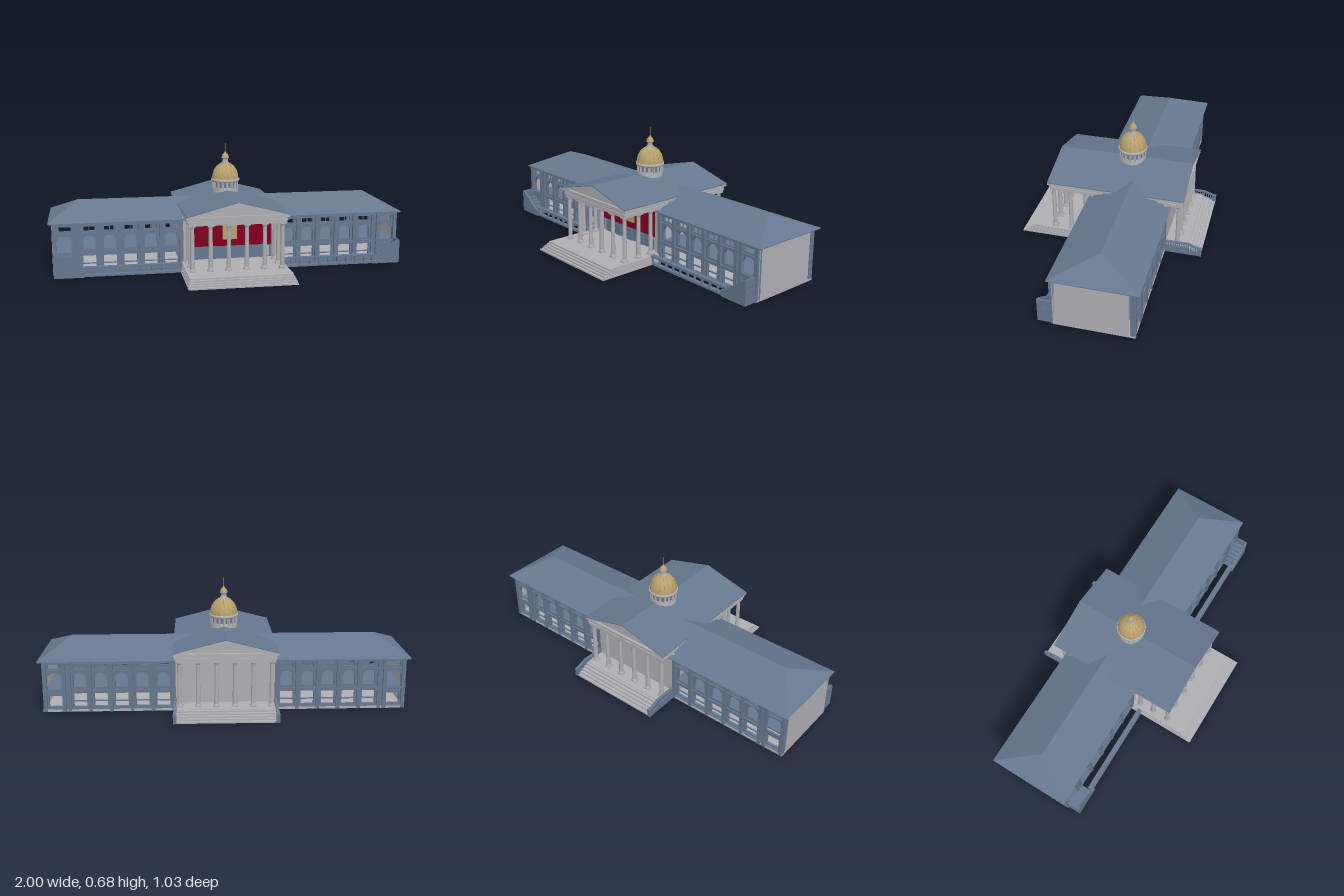
import * as THREE from 'three';

const material = (name, color) => {
  const m = new THREE.MeshStandardMaterial({ color });
  m.name = name;
  return m;
};

export function createModel() {
  const slate = material('slate', 0x66778f);
  const stone = material('stone', 0xaeaeb3);
  const burgundy = material('burgundy', 0x800020);
  const gold = material('gold', 0xb9a26c);
  const model = new THREE.Group();
  model.name = 'domedHall';

  const add = (name, geometry, mat, x = 0, y = 0, z = 0) => {
    const mesh = new THREE.Mesh(geometry, mat);
    mesh.name = name;
    mesh.position.set(x, y, z);
    model.add(mesh);
    return mesh;
  };
  // Box given by its limits on each axis
  const box = (name, mat, x0, x1, y0, y1, z0, z1) =>
    add(name, new THREE.BoxGeometry(Math.abs(x1 - x0), y1 - y0, Math.abs(z1 - z0)), mat,
      (x0 + x1) / 2, (y0 + y1) / 2, (z0 + z1) / 2);
  // Outline in x and y, extruded from z0 to z1
  const shapeOf = pts => new THREE.Shape(pts.map(p => new THREE.Vector2(p[0], p[1])));
  const slab = (name, mat, shape, z0, z1) =>
    add(name, new THREE.ExtrudeGeometry(shape, { depth: z1 - z0, bevelEnabled: false, curveSegments: 10 }), mat, 0, 0, z0);
  const lathe = (name, mat, pts, x, z, sides = 32) =>
    add(name, new THREE.LatheGeometry(pts.map(p => new THREE.Vector2(p[0], p[1])), sides), mat, x, 0, z);

  // Window outlines
  const rectHole = (x, w, y0, y1) => new THREE.Path([
    new THREE.Vector2(x - w / 2, y0), new THREE.Vector2(x + w / 2, y0),
    new THREE.Vector2(x + w / 2, y1), new THREE.Vector2(x - w / 2, y1)]);
  const archHole = (x, w, y0, y1) => {
    const p = new THREE.Path();
    p.moveTo(x - w / 2, y0);
    p.lineTo(x + w / 2, y0);
    p.lineTo(x + w / 2, y1 - w / 2);
    p.absarc(x, y1 - w / 2, w / 2, 0, Math.PI, false);
    p.closePath();
    return p;
  };

  // Wings: floors, end walls, pierced facades
  box('wingGroundFloor', stone, -0.98, 0.98, 0, 0.012, -0.312, 0.11);
  box('wingCeiling', slate, -0.98, 0.98, 0.277, 0.284, -0.31, 0.11);
  const bays = [0, 1, 2, 3, 4].map(i => 0.333 + i * 0.112);
  const piers = [0, 1, 2, 3, 4, 5].map(i => 0.277 + i * 0.112);
  for (const s of [-1, 1]) {
    box('wingUpperFloor', slate, s * 0.275, s * 0.975, 0.108, 0.118, -0.28, 0.09);
    box('endWall', stone, s * 0.968, s * 0.98, 0, 0.28, -0.278, 0.105);
    for (const [z0, z1, out] of [[0.09, 0.105, 1], [-0.3, -0.285, -1]]) {
      const wall = shapeOf([[s * 0.275, 0], [s * 0.98, 0], [s * 0.98, 0.28], [s * 0.275, 0.28]]);
      for (const x of bays) {
        wall.holes.push(rectHole(s * x, 0.07, 0.025, 0.1));
        wall.holes.push(archHole(s * x, 0.066, 0.135, 0.214));
        wall.holes.push(rectHole(s * x, 0.062, 0.238, 0.262));
      }
      wall.holes.push(archHole(s * 0.913, 0.09, 0.1, 0.214));
      wall.holes.push(rectHole(s * 0.913, 0.07, 0.238, 0.262));
      if (out < 0) wall.holes.push(rectHole(s * 0.913, 0.07, 0.025, 0.085));
      slab('wingFacade', slate, wall, z0, z1);
      const face = out > 0 ? z1 : z0;
      // Pilasters, string courses and window railings
      for (const x of [...piers, 0.866, 0.968])
        box('pilaster', slate, s * x - 0.01, s * x + 0.01, 0, 0.28, face, face + out * 0.014);
      for (const [y0, y1] of [[0, 0.018], [0.106, 0.122], [0.222, 0.23], [0.268, 0.28]])
        box('stringCourse', slate, s * 0.275, s * 0.98, y0, y1, face, face + out * 0.009);
      for (const x of bays) {
        box('windowRail', slate, s * x - 0.035, s * x + 0.035, 0.052, 0.058, z0 + 0.004, z1 - 0.004);
        box('upperMullion', slate, s * x - 0.002, s * x + 0.002, 0.238, 0.262, z0 + 0.004, z1 - 0.004);
      }
    }

    // Low fence along the front of the wing
    box('fenceBottomRail', slate, s * 0.28, s * 0.83, 0, 0.012, 0.155, 0.18);
    box('fenceTopRail', slate, s * 0.28, s * 0.83, 0.046, 0.054, 0.155, 0.18);
    for (let i = 0; i <= 10; i++) {
      const x = s * (0.285 + i * 0.054);
      box('fencePost', slate, x - 0.004, x + 0.004, 0.01, 0.048, 0.162, 0.173);
    }

    // Side stair with sloping parapet and outer balustrade
    const parapet = shapeOf([[0.972, 0], [0.972, 0.132], [0.945, 0.125], [0.835, 0.04], [0.81, 0.035], [0.81, 0]].map(p => [s * p[0], p[1]]));
    slab('stairParapet', slate, parapet, 0.178, 0.189);
    for (let i = 0; i < 6; i++)
      box('sideStep', slate, s * (0.83 + i * 0.022), s * 0.97, 0, 0.014 * (i + 1), 0.105, 0.178);
    box('landingWall', slate, s * 0.962, s * 0.972, 0, 0.076, 0.105, 0.189);
    box('landingRail', slate, s * 0.962, s * 0.972, 0.096, 0.133, 0.105, 0.189);
    for (let i = 0; i < 7; i++) {
      const z = 0.113 + i * 0.011;
      box('landingBaluster', slate, s * 0.964, s * 0.97, 0.075, 0.097, z - 0.0025, z + 0.0025);
    }
  }

  // Hipped roof over both wings, built from flat faces
  const e = 0.286, A = [-1, e, 0.125], B = [1, e, 0.125], C = [1, e, -0.335], D = [-1, e, -0.335];
  const L = [-0.84, 0.375, -0.105], R = [0.84, 0.375, -0.105];
  const corners = [[A, B, R], [A, R, L], [B, C, R], [C, D, L], [C, L, R], [D, A, L], [A, D, C], [A, C, B]];
  const hip = new THREE.BufferGeometry();
  hip.setAttribute('position', new THREE.Float32BufferAttribute(corners.flat(2), 3));
  hip.computeVertexNormals();
  add('wingRoof', hip, slate);
  box('wingEaves', slate, -0.998, 0.998, 0.28, 0.287, -0.333, 0.123);

  // Central hall
  box('hall', stone, -0.275, 0.275, 0, 0.3, -0.31, 0.085);
  box('entablature', stone, -0.265, 0.265, 0.295, 0.33, -0.392, 0.348);
  box('architraveBand', stone, -0.27, 0.27, 0.311, 0.316, -0.396, 0.352);
  box('cornice', stone, -0.278, 0.278, 0.33, 0.343, -0.402, 0.357);
  slab('pediment', stone, shapeOf([[-0.262, 0.34], [0.262, 0.34], [0, 0.412]]), -0.388, 0.344);
  const chevron = (w, y, t) => shapeOf([[-w, y], [w, y], [w, y + t], [0, 0.419 - 0.343 + y + t], [-w, y + t]]);
  const gable = (w, low, high, t) => shapeOf([[-w, low], [0, high], [w, low], [w, low - t], [0, high - t], [-w, low - t]]);
  slab('mainRoof', slate, gable(0.28, 0.347, 0.42, 0.005), -0.405, 0.359);
  for (const [z0, z1] of [[0.34, 0.358], [-0.404, -0.386]])
    slab('rakingCornice', stone, gable(0.279, 0.3455, 0.4185, 0.014), z0, z1);

  // Painted front wall behind the porch
  box('redWall', burgundy, -0.24, 0.24, 0.118, 0.295, 0.085, 0.092);
  box('lowerWall', slate, -0.24, 0.24, 0.045, 0.118, 0.085, 0.092);
  box('goldPanel', gold, -0.041, 0.041, 0.155, 0.248, 0.092, 0.096);
  for (const x of [-0.19, -0.1, 0, 0.1, 0.19])
    box('door', slate, x - 0.022, x + 0.022, 0.045, 0.11, 0.092, 0.097);
  for (const x of [-0.215, 0.215]) box('wallPlaque', stone, x - 0.012, x + 0.012, 0.05, 0.112, 0.092, 0.096);
  for (const s of [-1, 1]) box('hallCornerPier', stone, s * 0.238, s * 0.272, 0.04, 0.296, 0.08, 0.112);

  // Porch platform and front steps
  const steps = 5;
  for (let i = 0; i < steps; i++)
    box('frontStep', stone, -0.29 + i * 0.003, 0.29 - i * 0.003, i ? i * 0.009 - 0.002 : 0, (i + 1) * 0.009, 0.08, 0.515 - i * 0.0135);

  // Columns
  const column = (x, y, z) => {
    const top = 0.296;
    lathe('column', stone, [[0, y], [0.0175, y], [0.0175, y + 0.008], [0.013, y + 0.014], [0.0125, y + 0.02],
      [0.0105, top - 0.018], [0.0125, top - 0.015], [0.0155, top - 0.006], [0.0165, top], [0, top]], x, z, 16);
    box('columnPlinth', stone, x - 0.018, x + 0.018, y - 0.002, y + 0.005, z - 0.018, z + 0.018);
    box('columnCapital', stone, x - 0.017, x + 0.017, top - 0.006, top, z - 0.017, z + 0.017);
  };
  for (const x of [-0.245, -0.147, -0.049, 0.049, 0.147, 0.245]) {
    column(x, 0.045, 0.333);
    column(x, 0.045, -0.375);
  }
  for (const x of [-0.245, 0.245]) for (const z of [0.237, 0.15]) column(x, 0.045, z);

  // Rear terrace, steps and balustrades
  box('rearTerrace', stone, -0.264, 0.264, 0, 0.045, -0.425, -0.3);
  for (let i = 0; i < 5; i++)
    box('rearStep', stone, -0.264, 0.264, 0, 0.0085 * (i + 1), -0.512 + i * 0.018, -0.42);
  for (const s of [-1, 1]) {
    box('rearSideWall', slate, s * 0.262, s * 0.277, 0, 0.044, -0.445, -0.3);
    box('rearStairWall', slate, s * 0.262, s * 0.277, 0, 0.024, -0.515, -0.445);
    box('rearRail', slate, s * 0.262, s * 0.277, 0.062, 0.07, -0.445, -0.31);
    const rail = box('rearStairRail', slate, s * 0.262, s * 0.277, 0.05, 0.058, -0.512, -0.44);
    rail.rotation.x = -0.33;
    box('rearNewel', slate, s * 0.26, s * 0.279, 0, 0.048, -0.515, -0.5);
    for (let i = 0; i < 15; i++) {
      const z = -0.318 - i * 0.0125, drop = Math.max(0, -z - 0.445);
      box('rearBaluster', slate, s * 0.266, s * 0.273, drop ? 0.02 : 0.042, 0.064 - drop * 0.33, z - 0.0025, z + 0.0025);
    }
  }

  // Drum, dome, lantern and spire
  const dz = -0.06;
  lathe('drum', stone, [[0.074, 0.36], [0.074, 0.425], [0.066, 0.428], [0.066, 0.466]], 0, dz);
  lathe('drumCornice', stone, [[0.064, 0.464], [0.078, 0.464], [0.081, 0.47], [0.081, 0.479], [0.07, 0.481]], 0, dz);
  for (let i = 0; i < 16; i++) {
    const a = i / 16 * Math.PI * 2;
    add('drumColonnette', new THREE.CylinderGeometry(0.005, 0.005, 0.042, 8), stone,
      0.071 * Math.cos(a), 0.446, dz + 0.071 * Math.sin(a));
    const b = a + Math.PI / 16;
    const pane = add('drumWindow', new THREE.BoxGeometry(0.012, 0.028, 0.004), slate,
      0.066 * Math.sin(b), 0.447, dz + 0.066 * Math.cos(b));
    pane.rotation.y = b;
  }
  const domePoint = (t, r = 0.075) => [r * Math.cos(t), 0.479 + (r + 0.017) * Math.sin(t)];
  lathe('dome', gold, Array.from({ length: 15 }, (_, i) => domePoint(i / 14 * Math.PI / 2)), 0, dz, 40);
  const ribCurve = new THREE.CatmullRomCurve3(Array.from({ length: 8 }, (_, i) => {
    const [r, y] = domePoint(i / 7 * 1.4);
    return new THREE.Vector3(r, y, 0);
  }));
  const ribGeometry = new THREE.TubeGeometry(ribCurve, 14, 0.0016, 5);
  for (let i = 0; i < 16; i++) add('domeRib', ribGeometry, gold, 0, 0, dz).rotation.y = i / 16 * Math.PI * 2;
  lathe('lantern', stone, [[0.021, 0.564], [0.021, 0.573], [0.015, 0.575], [0.015, 0.594], [0.021, 0.597], [0.021, 0.602], [0, 0.603]], 0, dz, 20);
  lathe('lanternDome', gold, [[0.02, 0.602], [0.019, 0.61], [0.014, 0.618], [0.007, 0.624], [0.004, 0.632], [0, 0.634]], 0, dz, 20);
  add('spire', new THREE.CylinderGeometry(0.0007, 0.0022, 0.052, 8), gold, 0, 0.654, dz);

  return model;
}
